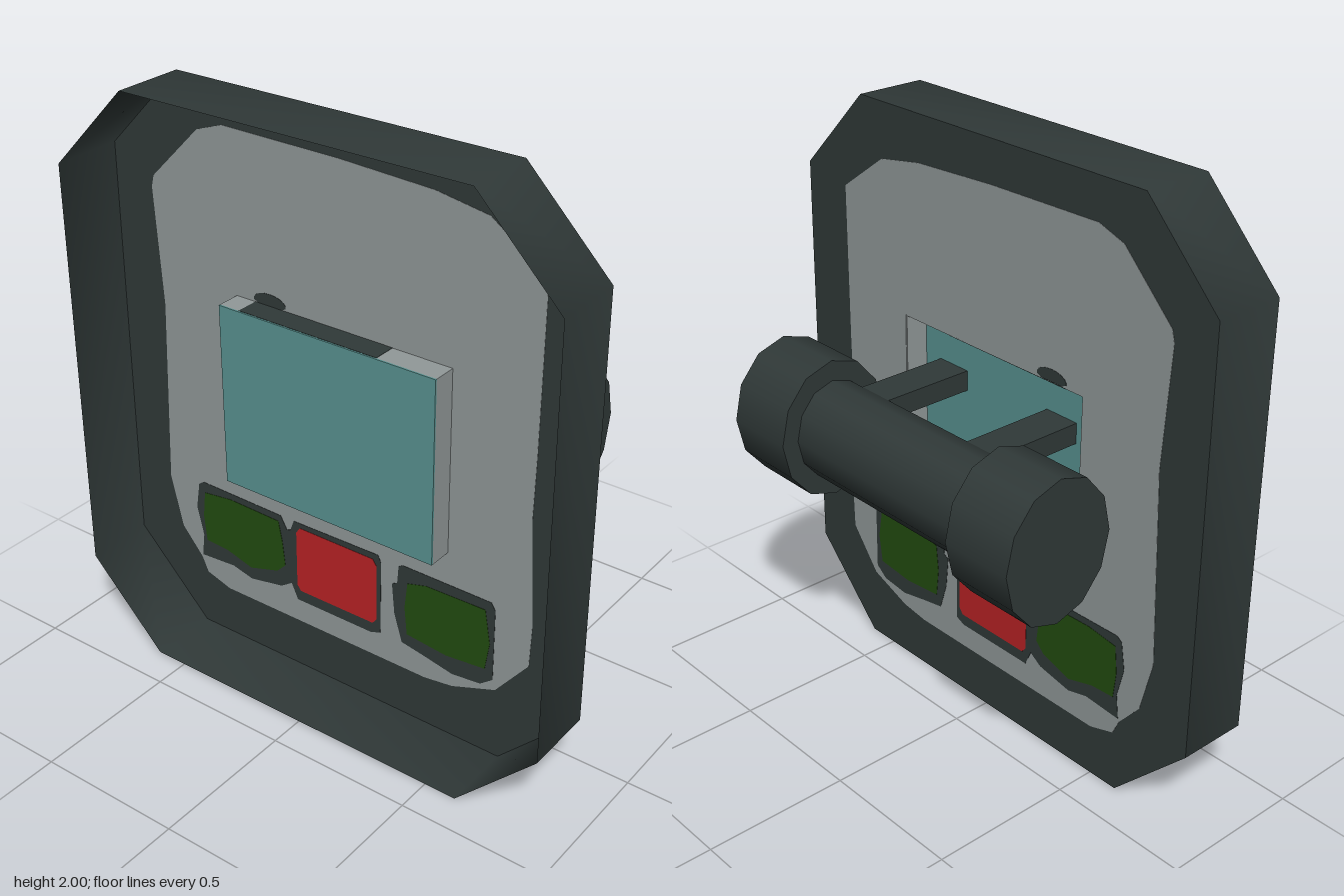
import * as THREE from 'three';

const paint = (name, color, side = THREE.DoubleSide) => {
  const m = new THREE.MeshStandardMaterial({ color, side });
  m.name = name;
  return m;
};
const BACK = 0.137;   // z of the panel sheet
const FRONT = 0.38;   // z of the open rim

export function createModel() {
  const dark = paint('charcoal', 0x303938);
  const grey = paint('panelGrey', 0x929999);
  const teal = paint('teal', 0x599391);
  const red = paint('red', 0xba2325);
  const green = paint('green', 0x234c10);

  const model = new THREE.Group();
  const add = (name, geometry, material, x = 0, y = 0, z = 0) => {
    const mesh = new THREE.Mesh(geometry, material);
    mesh.name = name;
    mesh.position.set(x, y, z);
    model.add(mesh);
    return mesh;
  };
  const box = (name, material, x0, x1, y0, y1, z0, z1) =>
    add(name, new THREE.BoxGeometry(x1 - x0, y1 - y0, z1 - z0), material,
      (x0 + x1) / 2, (y0 + y1) / 2, (z0 + z1) / 2);
  const toShape = (pts) => new THREE.Shape(pts.map(([x, y]) => new THREE.Vector2(x, y)));
  // thin plate centred on the sheet, so it shows on both sides
  const plate = (name, material, pts, thick, hole) => {
    const shape = toShape(pts);
    if (hole) shape.holes.push(toShape(hole));
    add(name, new THREE.ExtrudeGeometry(shape, { depth: thick, bevelEnabled: false }),
      material, 0, 0, BACK - thick / 2);
  };

  // open octagonal rim with softly shaded corners
  const octagon = [[-0.61, 0], [0.61, 0], [0.89, 0.285], [0.89, 1.715],
    [0.61, 2], [-0.61, 2], [-0.89, 1.715], [-0.89, 0.285]];
  const verts = [], index = [];
  octagon.forEach(([x, y], i) => {
    verts.push(x, y, BACK - 0.001, x, y, FRONT);
    const a = 2 * i, b = 2 * ((i + 1) % octagon.length);
    index.push(a, b, b + 1, a, b + 1, a + 1);
  });
  const rim = new THREE.BufferGeometry();
  rim.setAttribute('position', new THREE.Float32BufferAttribute(verts, 3));
  rim.setIndex(index);
  rim.computeVertexNormals();
  add('rim', rim, dark);

  // backing sheet and its pale panel, both open behind the raised box
  const [bx0, bx1, by0, by1] = [-0.405, 0.402, 0.69, 1.32];
  const opening = [[bx0, by0], [bx1, by0], [bx1, by1], [bx0, by1]];
  plate('backSheet', dark, octagon, 0.002, opening);
  plate('palePanel', grey, [
    [-0.74, 1.6], [-0.73, 1.64], [-0.67, 1.7], [-0.54, 1.83], [-0.44, 1.865], [0, 1.86],
    [0.33, 1.845], [0.51, 1.815], [0.7, 1.68], [0.695, 1.13], [0.69, 0.92],
    [0.71, 0.545], [0.705, 0.4], [0.59, 0.255], [0.43, 0.195], [0.325, 0.18],
    [-0.495, 0.18], [-0.59, 0.21], [-0.615, 0.265], [-0.695, 0.36], [-0.74, 0.545], [-0.715, 1.2],
  ], 0.004, opening);

  // dark surrounds of the buttons
  plate('leftSurround', dark, [
    [-0.61, 0.56], [-0.59, 0.575], [-0.255, 0.57], [-0.23, 0.525], [-0.215, 0.53], [-0.2, 0.57],
    [0.14, 0.575], [0.152, 0.55], [0.15, 0.28], [0.115, 0.265], [-0.19, 0.265],
    [-0.215, 0.32], [-0.26, 0.29], [-0.39, 0.265], [-0.47, 0.285], [-0.61, 0.275],
    [-0.6, 0.36], [-0.625, 0.465],
  ], 0.006);
  plate('rightSurround', dark, [
    [0.22, 0.565], [0.235, 0.575], [0.565, 0.575], [0.58, 0.55], [0.58, 0.29],
    [0.535, 0.255], [0.43, 0.243], [0.32, 0.265], [0.235, 0.28], [0.205, 0.38],
    [0.195, 0.49], [0.215, 0.5],
  ], 0.006);

  // buttons
  plate('greenButtonA', green, [
    [-0.585, 0.535], [-0.47, 0.55], [-0.265, 0.545], [-0.25, 0.47], [-0.24, 0.38],
    [-0.275, 0.345], [-0.39, 0.31], [-0.495, 0.34], [-0.585, 0.345], [-0.595, 0.44],
  ], 0.008);
  plate('redButton', red, [
    [-0.175, 0.305], [0.12, 0.305], [0.135, 0.325], [0.135, 0.53], [0.12, 0.552],
    [-0.175, 0.552], [-0.19, 0.53], [-0.19, 0.325],
  ], 0.008);
  plate('greenButtonB', green, [
    [0.255, 0.515], [0.325, 0.535], [0.545, 0.54], [0.565, 0.42], [0.55, 0.32],
    [0.405, 0.305], [0.255, 0.32], [0.245, 0.42],
  ], 0.008);

  // dark spot peeking over the box
  const spot = [];
  for (let i = 0; i <= 10; i++) {
    const a = Math.PI * (1.1 * i / 10 - 0.05);
    spot.push([-0.273 + 0.063 * Math.cos(a), Math.max(by1, 1.333 + 0.028 * Math.sin(a))]);
  }
  plate('spot', dark, [[-0.315, by1], [-0.23, by1], ...spot], 0.006);

  // raised box: teal face, grey walls, open at the back
  const face = 0.225, t = 0.004;
  box('boxFace', teal, bx0, bx1, by0, by1, face - 0.006, face);
  box('boxWallA', grey, bx0, bx0 + t, by0, by1, BACK, face - 0.006);
  box('boxWallB', grey, bx1 - t, bx1, by0, by1, BACK, face - 0.006);
  box('boxFloor', grey, bx0, bx1, by0, by0 + t, BACK, face - 0.006);
  box('boxTop', grey, bx0, bx1, by1 - t, by1, BACK, face - 0.006);
  box('boxTopStripe', dark, -0.33, 0.19, by1 - t - 0.001, by1 + 0.001, BACK, face - 0.006);

  // struts from the box to the bar
  box('strutA', dark, -0.302, -0.172, 1.095, 1.165, -0.15, face - 0.004);
  box('strutB', dark, 0.196, 0.326, 1.095, 1.165, -0.15, face - 0.004);

  // oval bar with a thick cap at each end
  const oval = (name, ry, rz, length, x) => {
    const g = new THREE.CylinderGeometry(1, 1, length, 12);
    g.scale(ry, 1, rz);
    g.rotateZ(Math.PI / 2);
    add(name, g, dark, x, 1.02, -0.182);
  };
  oval('bar', 0.168, 0.143, 0.8, 0);
  for (const s of [-1, 1]) oval('barCap', 0.237, 0.202, 0.254, s * 0.514);

  return model;
}
